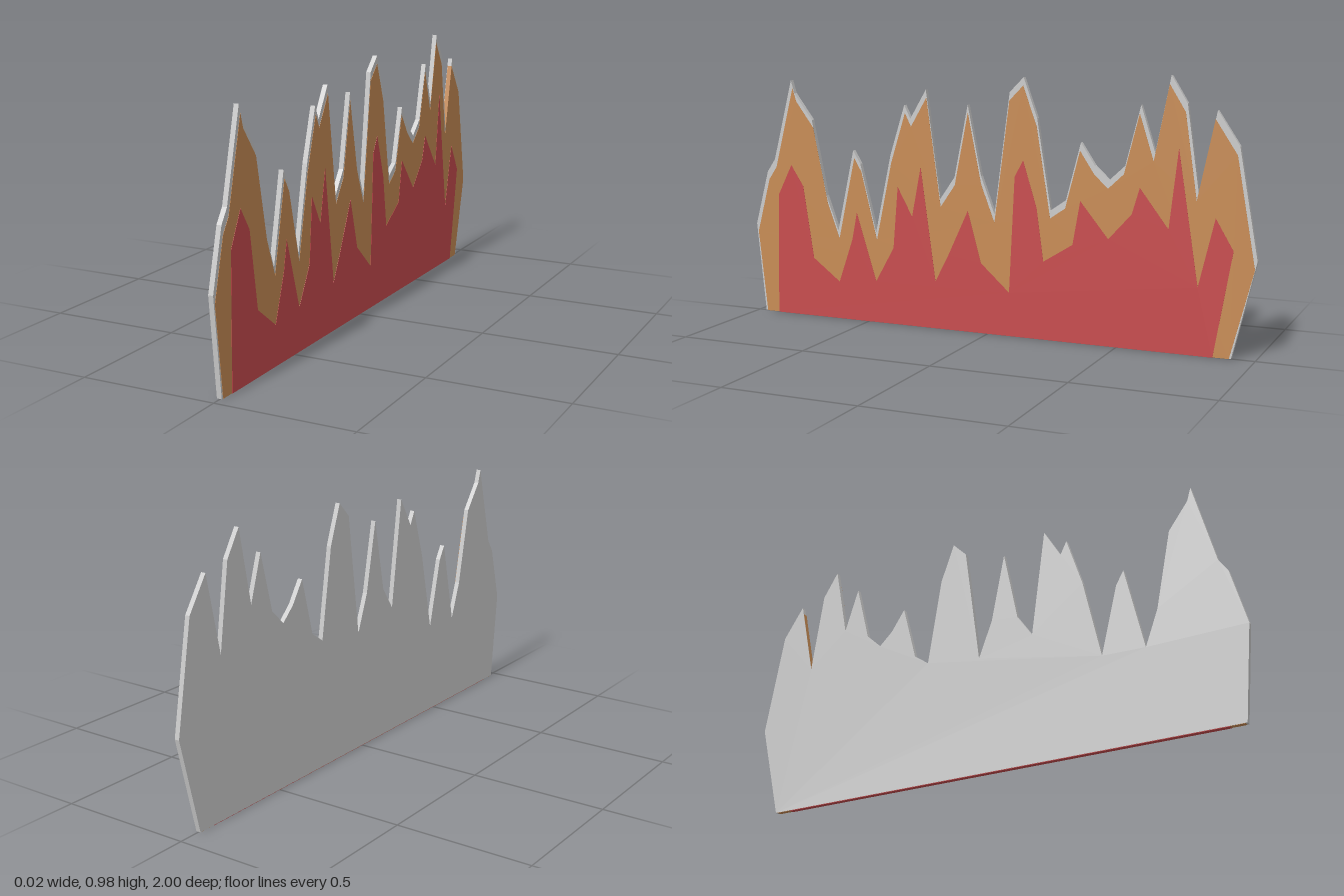
import * as THREE from 'three';

// Outlines as [z, y] pairs, running from the front end to the back end
const BODY = [
  [0.965, 0], [1, 0.35], [0.944, 0.56], [0.91, 0.61], [0.83, 0.92], [0.815, 0.87], [0.74, 0.77],
  [0.68, 0.48], [0.63, 0.345], [0.56, 0.66], [0.53, 0.61], [0.465, 0.35], [0.4, 0.65], [0.34, 0.84],
  [0.315, 0.79], [0.25, 0.9], [0.193, 0.495], [0.134, 0.58], [0.08, 0.85], [0.027, 0.59],
  [-0.027, 0.45], [-0.086, 0.9], [-0.14, 0.955], [-0.193, 0.81], [-0.247, 0.48], [-0.305, 0.52],
  [-0.36, 0.73], [-0.413, 0.65], [-0.466, 0.6], [-0.525, 0.655], [-0.58, 0.87], [-0.633, 0.705],
  [-0.686, 0.975], [-0.745, 0.88], [-0.79, 0.575], [-0.85, 0.86], [-0.93, 0.74], [-1, 0.35], [-0.917, 0],
];
const INNER = [
  [0.905, 0], [0.895, 0.47], [0.835, 0.59], [0.783, 0.51], [0.74, 0.23], [0.627, 0.145], [0.568, 0.315],
  [0.547, 0.42], [0.466, 0.16], [0.39, 0.295], [0.37, 0.53], [0.31, 0.42], [0.273, 0.61], [0.214, 0.18],
  [0.16, 0.285], [0.08, 0.457], [0.027, 0.265], [-0.086, 0.163], [-0.107, 0.595], [-0.14, 0.655],
  [-0.193, 0.485], [-0.22, 0.29], [-0.332, 0.36], [-0.36, 0.52], [-0.466, 0.39], [-0.552, 0.485],
  [-0.58, 0.58], [-0.686, 0.44], [-0.718, 0.725], [-0.794, 0.243], [-0.852, 0.49], [-0.917, 0.38], [-0.852, 0],
];

// Extrudes a [z, y] outline along x from x0 to x1, with its bottom edge at y = base
function slab(name, outline, x0, x1, base, color) {
  const shape = new THREE.Shape(outline.map(([z, y]) => new THREE.Vector2(-z, Math.max(y, base))));
  const geometry = new THREE.ExtrudeGeometry(shape, { depth: x1 - x0, bevelEnabled: false });
  geometry.rotateY(Math.PI / 2).translate(x0, 0, 0);
  const mesh = new THREE.Mesh(geometry, new THREE.MeshStandardMaterial({ color, flatShading: true }));
  mesh.name = name;
  return mesh;
}

export function createModel() {
  const group = new THREE.Group();
  group.name = 'flameCutout';

  // Outer flame: the body outline, drawn in and lowered to leave a grey rim
  const outer = BODY.map(([z, y]) => [z * 0.992, y > 0 ? y - 0.03 : 0]);

  // The coloured layers reach through to the underside but not to the plain back
  group.add(
    slab('backingBoard', BODY, -0.01, 0.008, 0.002, 0xcccccc),
    slab('outerFlame', outer, -0.009, 0.009, 0.001, 0xc88c55),
    slab('innerFlame', INNER, -0.009, 0.01, 0, 0xc84c4e),
  );
  return group;
}
